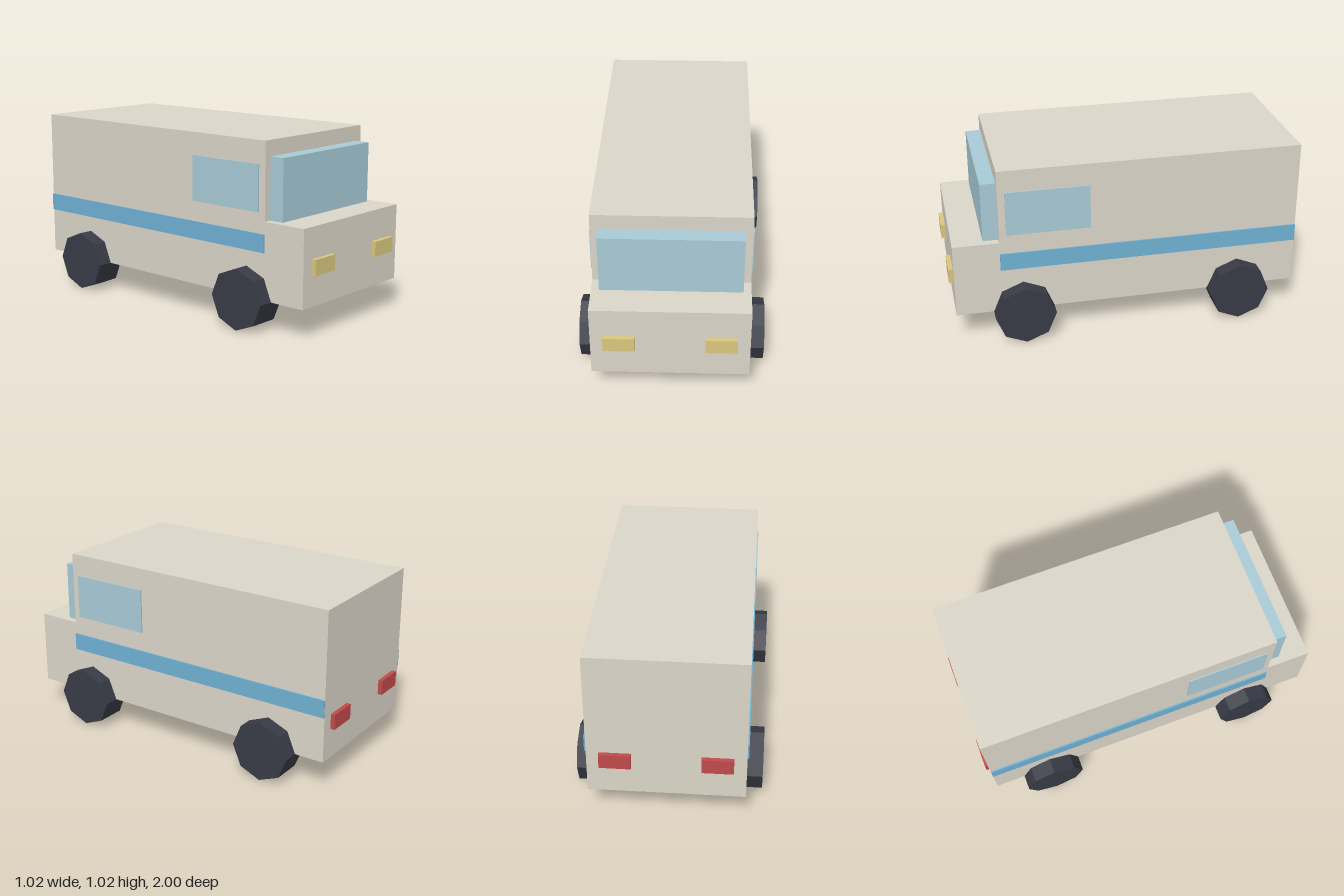
import * as THREE from 'three';

const paint = (color) => new THREE.MeshStandardMaterial({ color, flatShading: true });

export function createModel() {
  const van = new THREE.Group();
  van.name = 'van';
  const cream = paint(0xdad5c8);
  const glass = paint(0xa8cad7);
  const blue = paint(0x6fb1d3);
  const rubber = paint(0x383b46);
  const yellow = paint(0xd9c77e);
  const red = paint(0xc04a4a);

  // Box given by its limits on each axis
  const box = (name, material, [x0, x1], [y0, y1], [z0, z1]) => {
    const mesh = new THREE.Mesh(new THREE.BoxGeometry(x1 - x0, y1 - y0, z1 - z0), material);
    mesh.position.set((x0 + x1) / 2, (y0 + y1) / 2, (z0 + z1) / 2);
    mesh.name = name;
    van.add(mesh);
  };

  // Body: stepped side profile (z, y) extruded across the width
  const halfWidth = 0.423;
  const profile = new THREE.Shape([
    [-0.975, 0.17], [0.975, 0.17], [0.975, 0.595],
    [0.72, 0.595], [0.72, 1.018], [-0.975, 1.018],
  ].map(([z, y]) => new THREE.Vector2(z, y)));
  const bodyGeometry = new THREE.ExtrudeGeometry(profile, { depth: halfWidth * 2, bevelEnabled: false });
  bodyGeometry.translate(0, 0, -halfWidth).rotateY(-Math.PI / 2);
  const body = new THREE.Mesh(bodyGeometry, cream);
  body.name = 'body';
  van.add(body);

  // Windscreen standing on the bonnet
  box('windscreen', glass, [-0.381, 0.381], [0.595, 0.932], [0.72, 0.805]);

  // Wheel: octagonal drum with a corner pointing down
  const wheelGeometry = new THREE.CylinderGeometry(0.17, 0.17, 0.17, 8).rotateZ(Math.PI / 2);

  for (const [side, label] of [[1, 'left'], [-1, 'right']]) {
    const span = (a, b) => (side > 0 ? [a, b] : [-b, -a]);

    // Side panels stand slightly proud of the body
    box(`${label}Window`, glass, span(0.41, 0.431), [0.64, 0.893], [0.215, 0.68]);
    box(`${label}Stripe`, blue, span(0.41, 0.431), [0.428, 0.527], [-0.974, 0.719]);

    // Lamps
    box(`${label}Headlight`, yellow, span(0.185, 0.355), [0.34, 0.425], [0.96, 1]);
    box(`${label}TailLight`, red, span(0.185, 0.355), [0.34, 0.425], [-1, -0.96]);

    // Wheels
    for (const [z, end] of [[0.597, 'Front'], [-0.635, 'Rear']]) {
      const wheel = new THREE.Mesh(wheelGeometry, rubber);
      wheel.position.set(side * 0.4235, 0.17, z);
      wheel.name = `${label}${end}Wheel`;
      van.add(wheel);
    }
  }
  return van;
}
